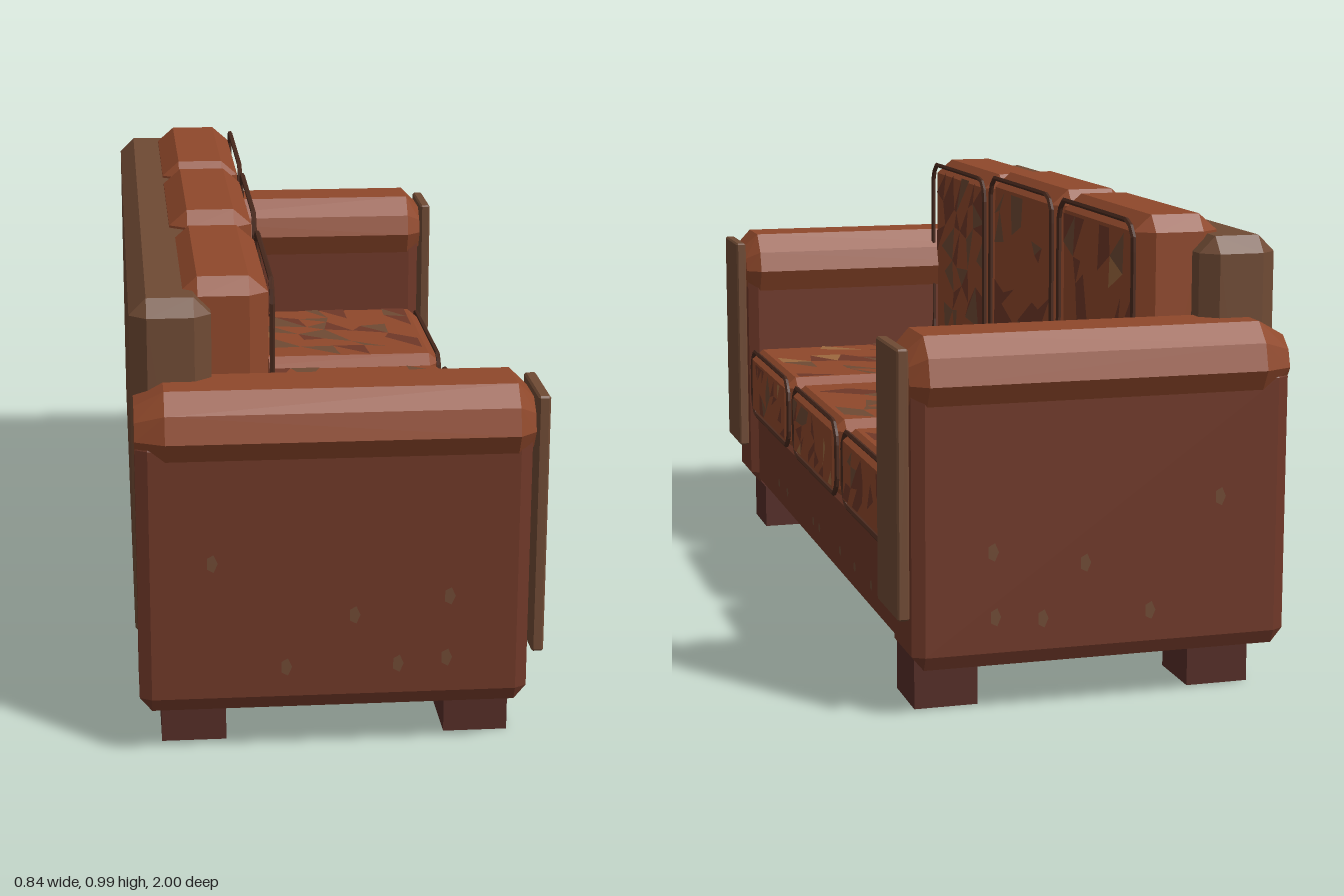
import * as THREE from 'three';
import { ConvexGeometry } from 'three/addons/geometries/ConvexGeometry.js';

const mat = (color) => new THREE.MeshStandardMaterial({ color, flatShading: true, side: THREE.DoubleSide });
const leather = mat(0x8f482b), frameMat = mat(0x6f3828), wood = mat(0x6f4a34);
const legMat = mat(0x552d27), piping = mat(0x4a2a1e);
const patchMats = [mat(0x6f3828), mat(0x6f4a34), mat(0x9c683e)];
const V = (x, y, z) => new THREE.Vector3(x, y, z);

// Small seeded generator for the worn-leather patches
let seed = 7;
const rand = () => (seed = (seed * 16807) % 2147483647) / 2147483647;

function add(group, name, geometry, material) {
  const mesh = new THREE.Mesh(geometry, material);
  mesh.name = name;
  group.add(mesh);
  return mesh;
}

// Box between two corners with chamfered edges (c = chamfer per axis)
function chamferBox(min, max, cx, cy = cx, cz = cx) {
  const mid = V(...min).add(V(...max)).multiplyScalar(0.5);
  const h = V(...max).sub(mid);
  const pts = [];
  for (const sx of [-1, 1]) for (const sy of [-1, 1]) for (const sz of [-1, 1]) {
    for (const [a, b, c] of [[0, 1, 1], [1, 0, 1], [1, 1, 0]]) {
      pts.push(V(sx * (h.x - a * cx), sy * (h.y - b * cy), sz * (h.z - c * cz)).add(mid));
    }
  }
  return new ConvexGeometry(pts);
}

// Irregular triangular patches scattered over the rectangle origin + u + v
function addPatches(group, origin, u, v, nu, nv, density) {
  const jitter = (i, n) => (i === 0 || i === n ? i : i + (rand() - 0.5) * 0.8) / n;
  const grid = [];
  for (let i = 0; i <= nu; i++) {
    grid.push([]);
    for (let j = 0; j <= nv; j++) {
      grid[i].push(origin.clone().addScaledVector(u, jitter(i, nu)).addScaledVector(v, jitter(j, nv)));
    }
  }
  const lists = [[], [], []];
  for (let i = 0; i < nu; i++) for (let j = 0; j < nv; j++) {
    const a = grid[i][j], b = grid[i + 1][j], c = grid[i + 1][j + 1], d = grid[i][j + 1];
    for (const tri of [[a, b, c], [a, c, d]]) {
      if (rand() > density) continue;
      const r = rand();
      lists[r < 0.5 ? 0 : r < 0.93 ? 1 : 2].push(...tri);
    }
  }
  lists.forEach((pts, k) => {
    if (!pts.length) return;
    const g = new THREE.BufferGeometry().setFromPoints(pts);
    g.computeVertexNormals();
    add(group, 'leatherPatches', g, patchMats[k]);
  });
}

// Thin closed cord around a cushion face standing in the plane x
function cord(x, y0, y1, z0, z1, c = 0.035) {
  const p = [[y0, z0 + c], [y0, z1 - c], [y0 + c, z1], [y1 - c, z1], [y1, z1 - c], [y1, z0 + c], [y1 - c, z0], [y0 + c, z0]];
  const curve = new THREE.CatmullRomCurve3(p.map(([y, z]) => V(x, y, z)), true, 'catmullrom', 0.05);
  return new THREE.TubeGeometry(curve, 64, 0.006, 5, true);
}

// Arm on the side s = +1 or -1 along z
function makeArm(s) {
  const arm = new THREE.Group();
  arm.name = s > 0 ? 'armPositiveZ' : 'armNegativeZ';
  const zs = [0.8 * s, 0.975 * s].sort((a, b) => a - b);
  add(arm, 'armBody', chamferBox([-0.42, 0.105, zs[0]], [0.38, 0.7, zs[1]], 0.025, 0.03, 0.015), frameMat);

  // Faceted padded roll, with its ends drawn in
  const profile = [[0.965, 0.63], [1, 0.69], [0.985, 0.745], [0.945, 0.785], [0.83, 0.785], [0.79, 0.74], [0.775, 0.69], [0.805, 0.625]];
  const pts = [];
  for (const [z, y] of profile) {
    const ze = 0.885 + (z - 0.885) * 0.75, ye = 0.69 + (y - 0.69) * 0.65;
    pts.push(V(-0.36, y, z * s), V(0.35, y, z * s), V(-0.42, ye, ze * s), V(0.385, ye, ze * s));
  }
  add(arm, 'armRoll', new ConvexGeometry(pts), leather);
  add(arm, 'armFrontPanel', chamferBox([0.387, 0.215, zs[0]], [0.412, 0.765, zs[1]], 0.004), wood);

  // Scuffs on the outer side
  for (const [x, y] of [[-0.27, 0.43], [0.02, 0.31], [0.215, 0.345], [-0.12, 0.2], [0.11, 0.2], [0.21, 0.21]]) {
    const scuff = add(arm, 'armScuff', new THREE.CircleGeometry(0.02, 5), patchMats[1]);
    scuff.scale.x = 0.6;
    scuff.position.set(x, y, 0.977 * s);
    if (s < 0) scuff.rotation.y = Math.PI;
  }
  return arm;
}

// One seat place: seat cushion, back cushion, cords and patches
function makeCushions(zMid, index) {
  const group = new THREE.Group();
  group.name = 'cushionSet' + (index + 1);
  const z0 = zMid - 0.25, z1 = zMid + 0.25;
  const top = index === 2 ? 0.978 : 0.992;

  const seat = add(group, 'seatCushion', chamferBox([-0.31, 0.295, z0], [0.38, 0.48, z1], 0.03, 0.025, 0.03), leather);
  addPatches(seat, V(-0.11, 0.482, z0 + 0.03), V(0, 0, 0.44), V(0.45, 0, 0), 6, 6, 0.34);
  addPatches(seat, V(0.382, 0.325, z1 - 0.03), V(0, 0, -0.44), V(0, 0.125, 0), 9, 3, 0.36);
  add(group, 'seatCord', cord(0.374, 0.305, 0.476, z0 + 0.005, z1 - 0.005), piping);

  const back = add(group, 'backCushion', chamferBox([-0.325, 0.47, z0 - 0.01], [-0.14, top, z1 + 0.01], 0.04, 0.035, 0.03), leather);
  addPatches(back, V(-0.138, 0.51, z1 - 0.02), V(0, 0, -0.46), V(0, 0.44, 0), 6, 6, 0.36);
  add(group, 'backCord', cord(-0.134, 0.485, top - 0.012, z0, z1), piping);
  return group;
}

export function createModel() {
  const sofa = new THREE.Group();
  sofa.name = 'sofa';

  // Base and back
  add(sofa, 'base', chamferBox([-0.4, 0.105, -0.965], [0.36, 0.3, 0.965], 0.015), frameMat);
  add(sofa, 'backrest', chamferBox([-0.425, 0.21, -0.89], [-0.26, 0.952, 0.88], 0.035, 0.035, 0.03), wood);
  for (const z of [0.51, 0.4, 0.08, 0.01, -0.22, -0.37, -0.53]) {
    const scuff = add(sofa, 'baseScuff', new THREE.CircleGeometry(0.012, 5), patchMats[1]);
    scuff.position.set(0.362, 0.17, z);
    scuff.rotation.y = Math.PI / 2;
  }

  // Arms and legs
  for (const s of [1, -1]) {
    sofa.add(makeArm(s));
    for (const x of [-0.307, 0.288]) {
      add(sofa, 'leg', new THREE.BoxGeometry(0.135, 0.11, 0.147), legMat).position.set(x, 0.055, 0.81 * s);
    }
  }

  // Three places side by side
  [-0.56, -0.005, 0.553].forEach((z, i) => sofa.add(makeCushions(z, i)));
  return sofa;
}
